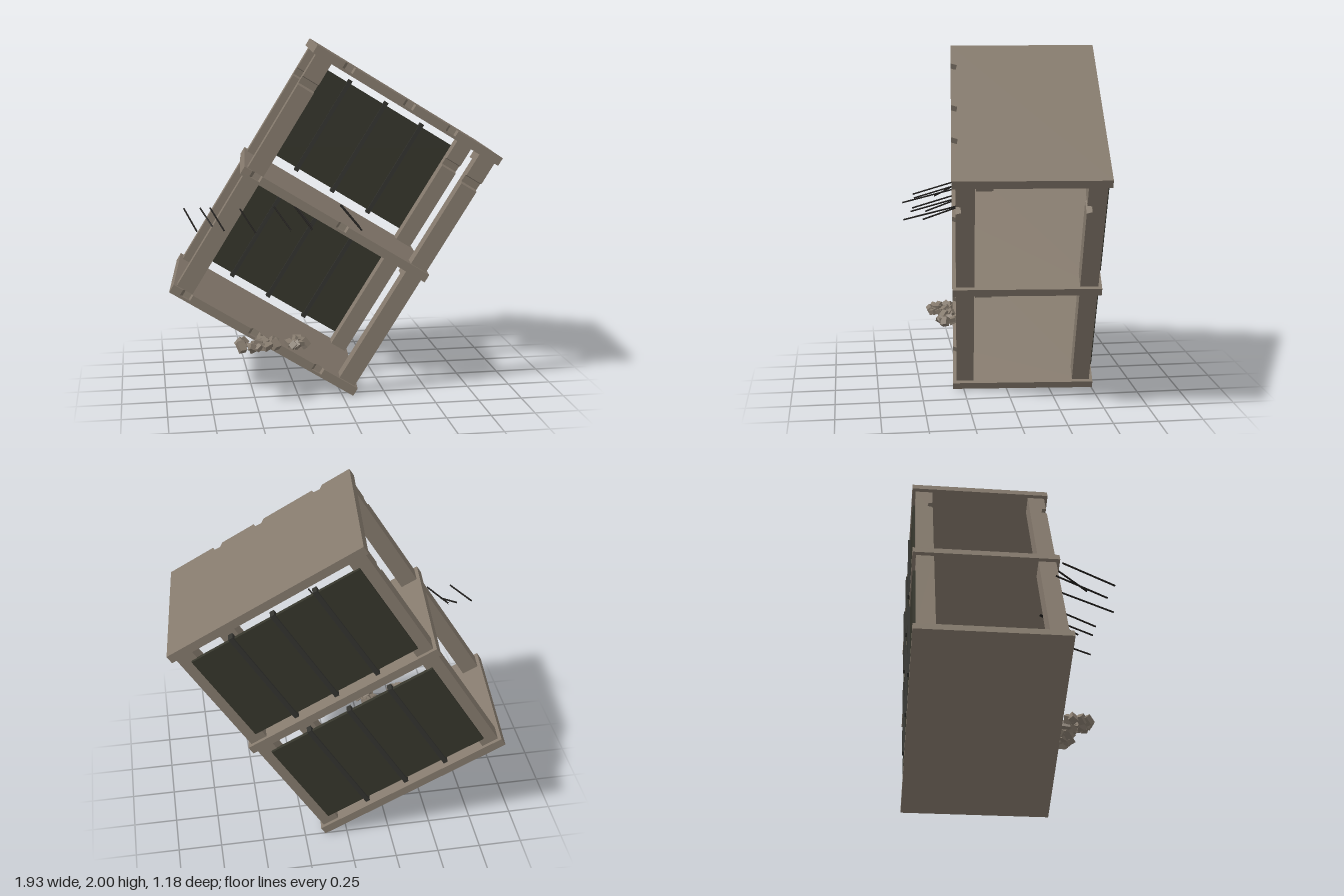
import * as THREE from 'three';

const concrete = new THREE.MeshStandardMaterial({ color: 0x857a6d });
concrete.name = 'concrete';
const darkPanel = new THREE.MeshStandardMaterial({ color: 0x35352b });
darkPanel.name = 'dark panel';
const mullionMetal = new THREE.MeshStandardMaterial({ color: 0x33332f });
mullionMetal.name = 'mullion metal';
const rebarSteel = new THREE.MeshStandardMaterial({ color: 0x1e1c1a });
rebarSteel.name = 'rebar steel';

const LENGTH = 1.21, DEPTH = 0.82, SLAB = 0.05, STOREY = 0.775;

function add(parent, name, geometry, material, x, y, z) {
  const mesh = new THREE.Mesh(geometry, material);
  mesh.name = name;
  mesh.position.set(x, y, z);
  parent.add(mesh);
  return mesh;
}

// Slab layer, with trapezoid chips along its front edge
function slabLayer(thickness, chips) {
  const w = LENGTH / 2, d = DEPTH / 2;
  const shape = new THREE.Shape();
  shape.moveTo(-w, -d);
  for (const c of chips) {
    shape.lineTo(c - 0.035, -d);
    shape.lineTo(c - 0.018, -d + 0.035);
    shape.lineTo(c + 0.022, -d + 0.03);
    shape.lineTo(c + 0.03, -d);
  }
  shape.lineTo(w, -d);
  shape.lineTo(w, d);
  shape.lineTo(-w, d);
  return new THREE.ExtrudeGeometry(shape, { depth: thickness, bevelEnabled: false }).rotateX(-Math.PI / 2);
}

// Square column with an optional bite out of its front face
function columnGeometry(height, bite) {
  const h = 0.05;
  const shape = new THREE.Shape();
  shape.moveTo(-h, 0);
  shape.lineTo(h, 0);
  if (bite) {
    shape.lineTo(h, bite - 0.03);
    shape.lineTo(h - 0.03, bite - 0.02);
    shape.lineTo(h - 0.025, bite + 0.02);
    shape.lineTo(h, bite + 0.025);
  }
  shape.lineTo(h, height);
  shape.lineTo(-h, height);
  return new THREE.ExtrudeGeometry(shape, { depth: 0.1, bevelEnabled: false })
    .translate(0, 0, -0.05).rotateY(-Math.PI / 2);
}

function seeded(seed) {
  return () => (seed = (seed * 16807) % 2147483647) / 2147483647;
}

export function createModel() {
  const model = new THREE.Group();
  model.name = 'tilted ruined building';

  // Tilted two-storey frame
  const frame = new THREE.Group();
  frame.name = 'buildingFrame';
  frame.position.set(-0.42, 0.315, -0.14);
  frame.rotation.set(0, -0.085, -0.548, 'YXZ');
  model.add(frame);

  // Floor slabs
  const chips = [[-0.51, -0.07, 0.35], [-0.52, 0.04], [-0.39, 0, 0.28]];
  chips.forEach((list, i) => {
    add(frame, 'slabLower', slabLayer(0.015, []), concrete, 0, i * STOREY, 0);
    add(frame, 'slabUpper', slabLayer(SLAB - 0.015, list), concrete, 0, i * STOREY + 0.015, 0);
  });

  for (let floor = 0; floor < 2; floor++) {
    const base = floor * STOREY + SLAB;
    const clear = STOREY - SLAB;
    const mid = base + clear / 2;

    // Corner columns
    for (const sx of [-1, 1]) for (const sz of [-1, 1]) {
      add(frame, 'column', columnGeometry(clear, floor ? 0.565 : 0), concrete, sx * 0.535, base, sz * 0.34);
    }

    // Loose block under the ceiling
    add(frame, 'ceilingBlock', new THREE.BoxGeometry(0.08, 0.045, 0.09), concrete, 0.53, base + clear - 0.0225, 0.24);

    // Back wall panel and its mullions
    add(frame, 'backPanel', new THREE.BoxGeometry(1.04, 0.61, 0.02), darkPanel, 0, mid, -0.395);
    for (const x of [-0.26, 0, 0.26]) {
      add(frame, 'mullion', new THREE.BoxGeometry(0.026, 0.65, 0.045), mullionMetal, x, mid, -0.397);
    }
  }

  // Bent-out reinforcement rods: start x, start z, end z
  const rods = [
    [-0.875, 0.19, 0.49], [-0.785, 0.19, 0.36], [-0.73, 0.19, 0.49],
    [-0.57, 0.22, 0.57], [-0.375, 0.22, 0.52], [-0.25, 0.21, 0.45],
    [-0.26, 0.21, 0.535], [0, 0.22, 0.59], [0.005, 0.22, 0.48],
  ];
  for (const [x, z0, z1] of rods) {
    const path = new THREE.LineCurve3(new THREE.Vector3(x, 1.095, z0), new THREE.Vector3(x + 0.058, 1.02, z1));
    add(model, 'rebar', new THREE.TubeGeometry(path, 1, 0.005, 6), rebarSteel, 0, 0, 0);
  }

  // Rubble pile at the front
  const rand = seeded(77);
  for (let i = 0; i < 32; i++) {
    const big = i < 22;
    const s = 0.025 + rand() * 0.025;
    const x = big ? -0.585 + rand() * 0.2 : -0.32 + rand() * 0.1;
    const z = big ? 0.28 + rand() * 0.13 : 0.27 + rand() * 0.1;
    const block = add(model, 'rubble', new THREE.BoxGeometry(s * 1.2, s * 0.8, s), concrete, x, 0.33 + rand() * 0.02, z);
    block.rotation.set(rand() * 0.8, rand() * 3, rand() * 0.8);
  }
  return model;
}
